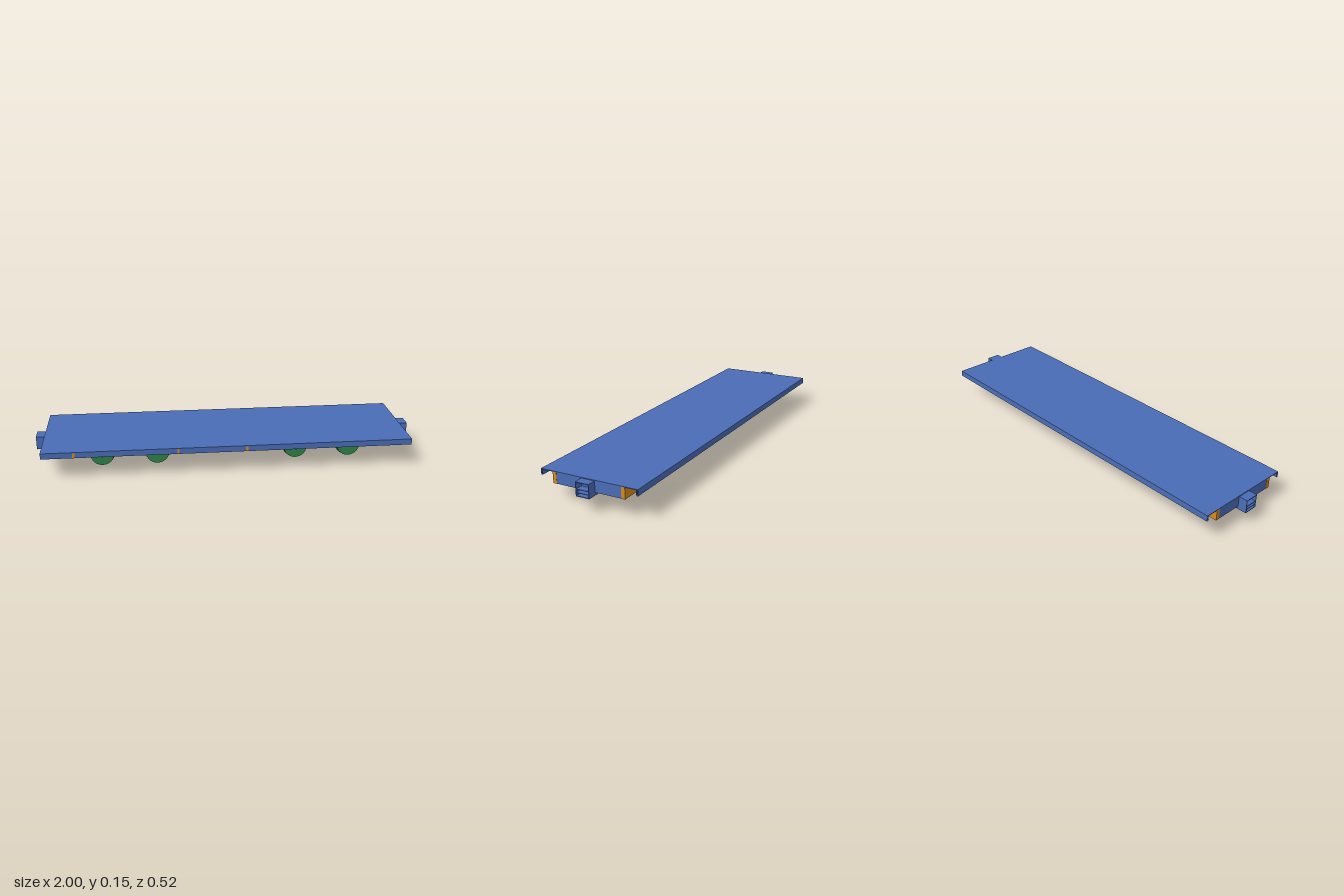
import * as THREE from 'three';
import { toCreasedNormals } from 'three/addons/utils/BufferGeometryUtils.js';

const mat = (name, color) => Object.assign(new THREE.MeshStandardMaterial({ color }), { name });
const blue = mat('deckBlue', 0x4a6cb6);
const orange = mat('frameOrange', 0xd68a1e);
const green = mat('bogieGreen', 0x2f8249);
const red = mat('brakeRed', 0xcc2229);

// Box given by its min and max on each axis
function box(parent, name, m, x0, x1, y0, y1, z0, z1) {
  const mesh = new THREE.Mesh(new THREE.BoxGeometry(Math.abs(x1 - x0), y1 - y0, Math.abs(z1 - z0)), m);
  mesh.position.set((x0 + x1) / 2, (y0 + y1) / 2, (z0 + z1) / 2);
  mesh.name = name;
  parent.add(mesh);
  return mesh;
}

// Cylinder lying along z
function rod(parent, name, m, r, len, x, y, z) {
  const mesh = new THREE.Mesh(new THREE.CylinderGeometry(r, r, len, 24).rotateX(Math.PI / 2), m);
  mesh.position.set(x, y, z);
  mesh.name = name;
  parent.add(mesh);
}

function createBody() {
  const body = new THREE.Group();
  body.name = 'body';
  box(body, 'deck', blue, -0.955, 0.955, 0.146, 0.15, -0.262, 0.262);

  for (const s of [-1, 1]) {
    // Hollow folded deck edge
    box(body, 'edgeOuterFace', blue, -0.955, 0.955, 0.119, 0.147, s * 0.261, s * 0.262);
    box(body, 'edgeInnerFace', blue, -0.955, 0.955, 0.121, 0.147, s * 0.253, s * 0.254);
    box(body, 'edgeBottom', blue, -0.955, 0.955, 0.119, 0.12, s * 0.255, s * 0.262);
    // Long side sill
    box(body, 'sideSill', orange, -0.955, 0.955, 0.09, 0.147, s * 0.175, s * 0.195);
    // End plate
    box(body, 'endPlate', blue, s * 0.944, s * 0.954, 0.09, 0.147, -0.175, 0.175);
    // Bolster above each bogie
    box(body, 'bolster', orange, s * 0.483, s * 0.543, 0.095, 0.12, -0.175, 0.175);

    // Open coupler pocket
    const coupler = new THREE.Group();
    coupler.name = 'couplerPocket';
    body.add(coupler);
    box(coupler, 'pocketFloor', blue, s * 0.84, s, 0.076, 0.08, -0.036, 0.036);
    box(coupler, 'pocketRoof', blue, s * 0.84, s, 0.142, 0.146, -0.036, 0.036);
    for (const t of [-1, 1]) box(coupler, 'pocketSide', blue, s * 0.84, s, 0.08, 0.142, t * 0.033, t * 0.036);
    box(coupler, 'pocketBack', blue, s * 0.956, s * 0.96, 0.08, 0.142, -0.033, 0.033);
    for (const y of [0.092, 0.108]) box(coupler, 'pocketShelf', blue, s * 0.96, s * 0.998, y, y + 0.003, -0.033, 0.033);
  }

  // Cross beams reaching out to the front edge; some pass through it
  const through = [0, 3, 5];
  for (let i = 0; i < 10; i++) {
    const x = -0.79 + i * 0.1756;
    const z1 = through.includes(i) ? 0.2625 : 0.2605;
    box(body, 'crossBeam', orange, x - 0.006, x + 0.006, 0.1195, 0.146, -0.175, z1);
  }

  // The body leans slightly to the front
  body.rotation.x = 0.017;
  body.position.z = -0.0025;
  return body;
}

// Wheel profile: radius and distance along the axle, with two raised rims
const wheelProfile = [
  [0, 0.066], [0.066, 0.066], [0.0675, 0.068], [0.0665, 0.071], [0.064, 0.074],
  [0.064, 0.086], [0.067, 0.088], [0.067, 0.091], [0.063, 0.093], [0.061, 0.118], [0, 0.118],
].map(([r, z]) => new THREE.Vector2(r, z));
const wheelGeometry = toCreasedNormals(
  new THREE.LatheGeometry(wheelProfile, 40).rotateX(Math.PI / 2), 0.5);

function createWheelset(x, braked) {
  const set = new THREE.Group();
  set.name = 'wheelset';
  const y = 0.0675;
  rod(set, 'axle', green, 0.0095, 0.274, x, y, 0);
  for (const s of [-1, 1]) {
    const wheel = new THREE.Mesh(wheelGeometry, green);
    wheel.name = 'wheel';
    wheel.position.set(x, y, 0);
    if (s < 0) wheel.rotation.y = Math.PI;
    set.add(wheel);
    if (braked) for (const z of [0.037, 0.057]) rod(set, 'brakeDisc', red, 0.027, 0.004, x, y, s * z);
  }
  if (braked) rod(set, 'brakeBar', red, 0.005, 0.144, x, 0.054, 0);
  return set;
}

function createBogie(cx) {
  const bogie = new THREE.Group();
  bogie.name = 'bogie';
  for (const s of [-1, 1]) {
    box(bogie, 'bogieSideBeam', green, cx - 0.24, cx + 0.24, 0.092, 0.112, s * 0.13, s * 0.15);
    box(bogie, 'bogieEndBeam', green, cx + s * 0.225, cx + s * 0.24, 0.092, 0.112, -0.13, 0.13);
    const x = cx + s * 0.144;
    for (const t of [-1, 1]) box(bogie, 'axleBox', green, x - 0.014, x + 0.014, 0.068, 0.093, t * 0.122, t * 0.136);
    bogie.add(createWheelset(x, !(cx < 0 && s > 0)));
  }
  box(bogie, 'bogieCentreBeam', green, cx - 0.025, cx + 0.025, 0.098, 0.112, -0.13, 0.13);
  return bogie;
}

export function createModel() {
  const model = new THREE.Group();
  model.name = 'flatWagon';
  model.add(createBody(), createBogie(0.512), createBogie(-0.512));
  return model;
}
